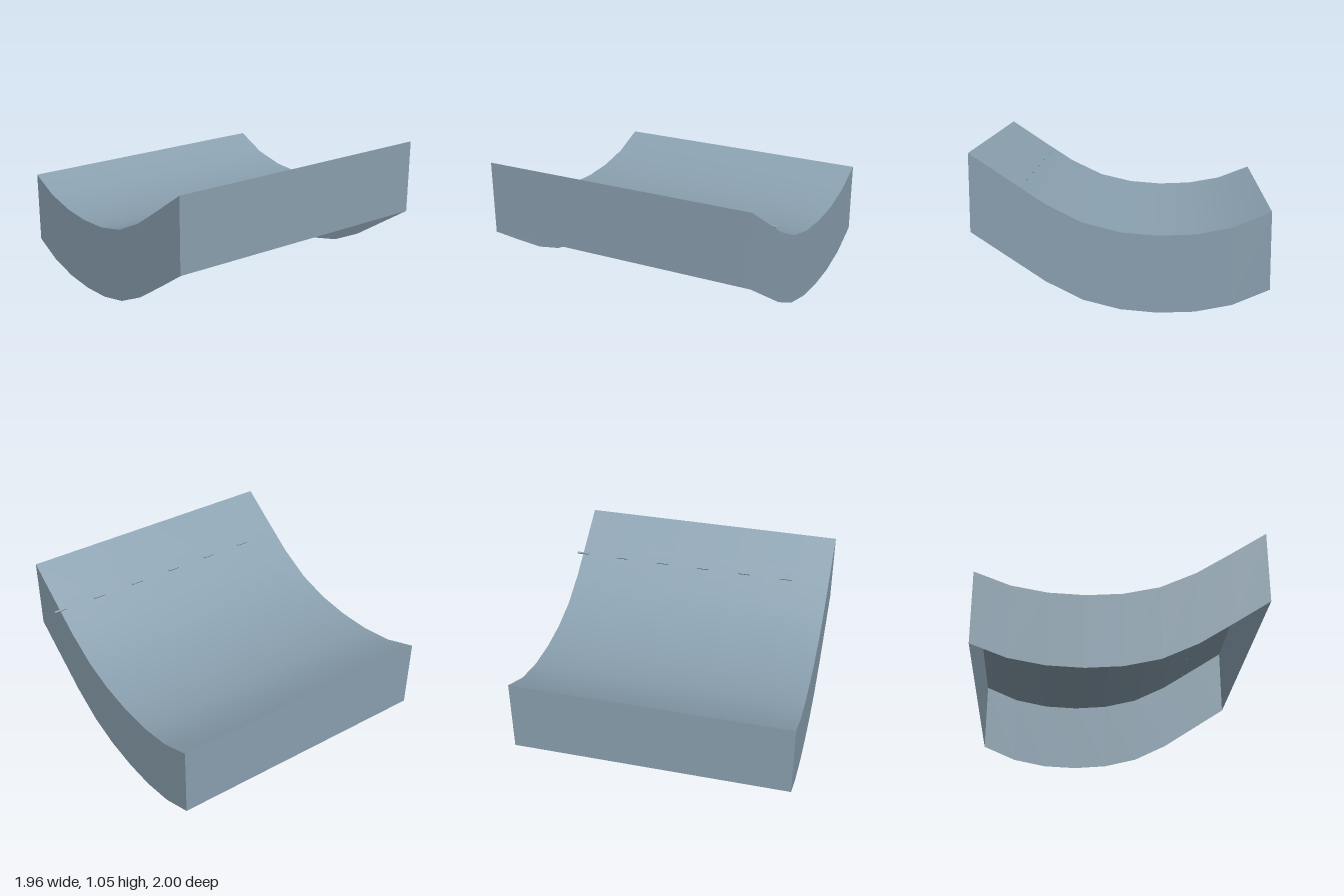
import * as THREE from 'three';

// Height of the sheet at nine even stations across, at the front edge,
// and how much each station has risen by the back edge
const FRONT = [0.67, 0.575, 0.531, 0.521, 0.54, 0.598, 0.715, 0.875, 1.04];
const RISE = [0.017, 0.006, 0.001, 0.001, 0.003, 0.007, 0.013, 0.017, 0.016];
const HALF = 0.978, Z_FRONT = 1, Z_BACK = -0.955, SKIRT = 0.52, N = 8;

function heightAt(x, z) {
  const u = THREE.MathUtils.clamp((x + HALF) / (2 * HALF), 0, 1) * N;
  const i = Math.min(Math.floor(u), N - 1), f = u - i;
  const t = Math.min(1, (Z_FRONT - z) / (Z_FRONT - Z_BACK));
  const h = (k) => FRONT[k] + RISE[k] * t;
  return h(i) * (1 - f) + h(i + 1) * f;
}

export function createModel() {
  const group = new THREE.Group();
  const slate = new THREE.MeshStandardMaterial({ color: 0x8aa0af, side: THREE.DoubleSide });
  slate.name = 'slate blue';

  const add = (name, geometry) => {
    const mesh = new THREE.Mesh(geometry, slate);
    mesh.name = name;
    group.add(mesh);
    return mesh;
  };

  // Smooth curved sheet
  const depth = Z_FRONT - Z_BACK;
  const sheet = new THREE.PlaneGeometry(2 * HALF, depth, N, N);
  sheet.rotateX(-Math.PI / 2).translate(0, 0, (Z_FRONT + Z_BACK) / 2);
  const p = sheet.attributes.position;
  for (let i = 0; i < p.count; i++) p.setY(i, heightAt(p.getX(i), p.getZ(i)));
  sheet.computeVertexNormals();
  add('curvedSurface', sheet);

  // Skirt walls hang from each edge; the underside stays open
  const skirt = (name, x0, z0, x1, z1) => {
    const wall = new THREE.PlaneGeometry(1, 1, N, 1);
    const w = wall.attributes.position;
    for (let i = 0; i < w.count; i++) {
      const t = w.getX(i) + 0.5;
      const x = x0 + (x1 - x0) * t, z = z0 + (z1 - z0) * t;
      w.setXYZ(i, x, heightAt(x, z) - (w.getY(i) < 0 ? SKIRT : 0), z);
    }
    wall.computeVertexNormals();
    add(name, wall);
  };
  skirt('frontSkirt', -HALF, Z_FRONT, HALF, Z_FRONT);
  skirt('leftSkirt', HALF, Z_FRONT, HALF, Z_BACK);
  skirt('backSkirt', HALF, Z_BACK, -HALF, Z_BACK);
  skirt('rightSkirt', -HALF, Z_BACK, -HALF, Z_FRONT);

  // Row of small dashes lying on the slope
  const dash = new THREE.BoxGeometry(0.012, 0.012, 0.09);
  const dashX = 0.643;
  for (let i = 0; i < 6; i++) {
    const z = -0.955 + i * 0.3255;
    const mesh = add('dash' + (i + 1), dash);
    mesh.position.set(dashX, heightAt(dashX, z) + 0.005, z);
    mesh.rotation.z = Math.atan2(0.16, 0.245);
  }
  return group;
}
